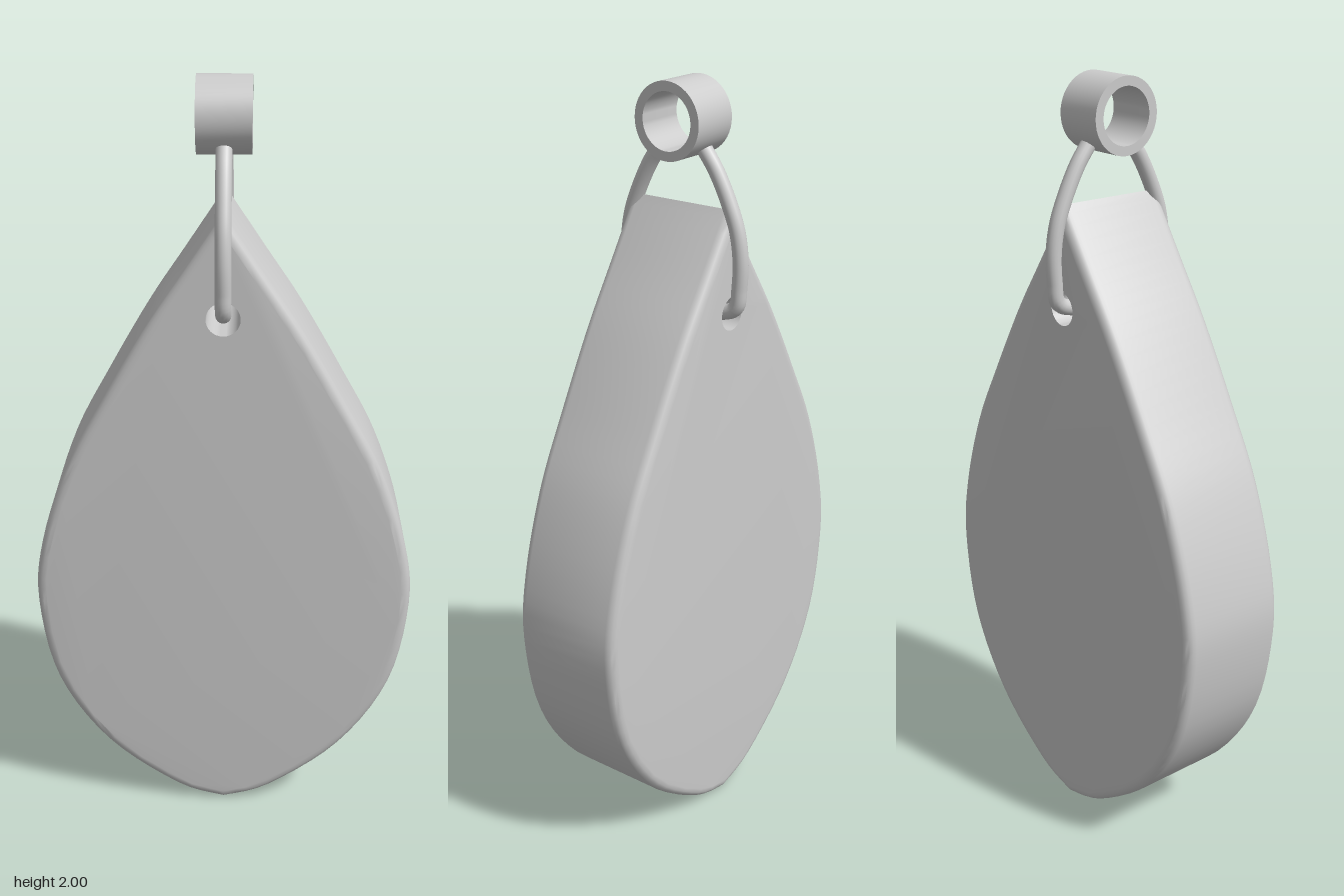
import * as THREE from 'three';
import { toCreasedNormals } from 'three/addons/utils/BufferGeometryUtils.js';

const HOLE_Y = 1.44, HOLE_R = 0.043;

// Teardrop slab with rounded rims, a straight hole and a slightly thicker upper front
function bodyGeometry() {
  const side = [[0, 0.005], [0.13, 0.048], [0.32, 0.195], [0.45, 0.4], [0.495, 0.64], [0.475, 0.82],
    [0.405, 1.03], [0.31, 1.21], [0.2, 1.4], [0.1, 1.55], [0, 1.7]].map(p => new THREE.Vector2(...p));
  const right = new THREE.SplineCurve(side).getPoints(50);
  const left = right.slice(1, -1).reverse().map(p => new THREE.Vector2(-p.x, p.y));
  const shape = new THREE.Shape([...right, ...left]);
  const hole = new THREE.Path();
  hole.absarc(0, HOLE_Y, HOLE_R, 0, Math.PI * 2, true);
  shape.holes.push(hole);
  const bevel = 0.025;
  const geo = new THREE.ExtrudeGeometry(shape, {
    depth: 0.3 - 2 * bevel, bevelThickness: bevel, bevelSize: bevel,
    bevelOffset: -bevel, bevelSegments: 4, curveSegments: 16,
  });
  geo.translate(0, 0, bevel - 0.15);
  const pos = geo.attributes.position;
  for (let i = 0; i < pos.count; i++) {
    const x = pos.getX(i), y = pos.getY(i), z = pos.getZ(i);
    const d = Math.hypot(x, y - HOLE_Y);
    // keep the hole wall straight
    if (d < 0.085) pos.setXY(i, x * HOLE_R / d, HOLE_Y + (y - HOLE_Y) * HOLE_R / d);
    if (z > 0) pos.setZ(i, z + 0.014 * pos.getY(i) / 1.7);
  }
  return toCreasedNormals(geo, 0.55);
}

export function createModel() {
  const metal = new THREE.MeshStandardMaterial({ color: 0xcccccc });
  metal.name = 'silver';
  const group = new THREE.Group();
  const add = (name, geo) => {
    const mesh = new THREE.Mesh(geo, metal);
    mesh.name = name;
    group.add(mesh);
  };

  add('teardropBody', bodyGeometry());

  // Wire loop from the bail, through the hole and up the other side
  const half = [[1.835, 0.065], [1.79, 0.098], [1.72, 0.135], [1.65, 0.162], [1.58, 0.173],
    [1.51, 0.171], [1.46, 0.163], [1.441, 0.13]];
  const path = [
    ...half.map(([y, z]) => new THREE.Vector3(0, y, z)),
    ...half.slice().reverse().map(([y, z]) => new THREE.Vector3(0, y, -z)),
  ];
  add('wireLoop', new THREE.TubeGeometry(new THREE.CatmullRomCurve3(path), 120, 0.02, 16));

  // Bail: short hollow cylinder lying along x
  const profile = [[0.071, -0.068], [0.095, -0.068], [0.095, 0.068], [0.071, 0.068], [0.071, -0.068]]
    .map(p => new THREE.Vector2(...p));
  const bail = toCreasedNormals(new THREE.LatheGeometry(profile, 48), 0.5);
  bail.rotateZ(Math.PI / 2).translate(0, 1.905, 0);
  add('bail', bail);

  return group;
}
